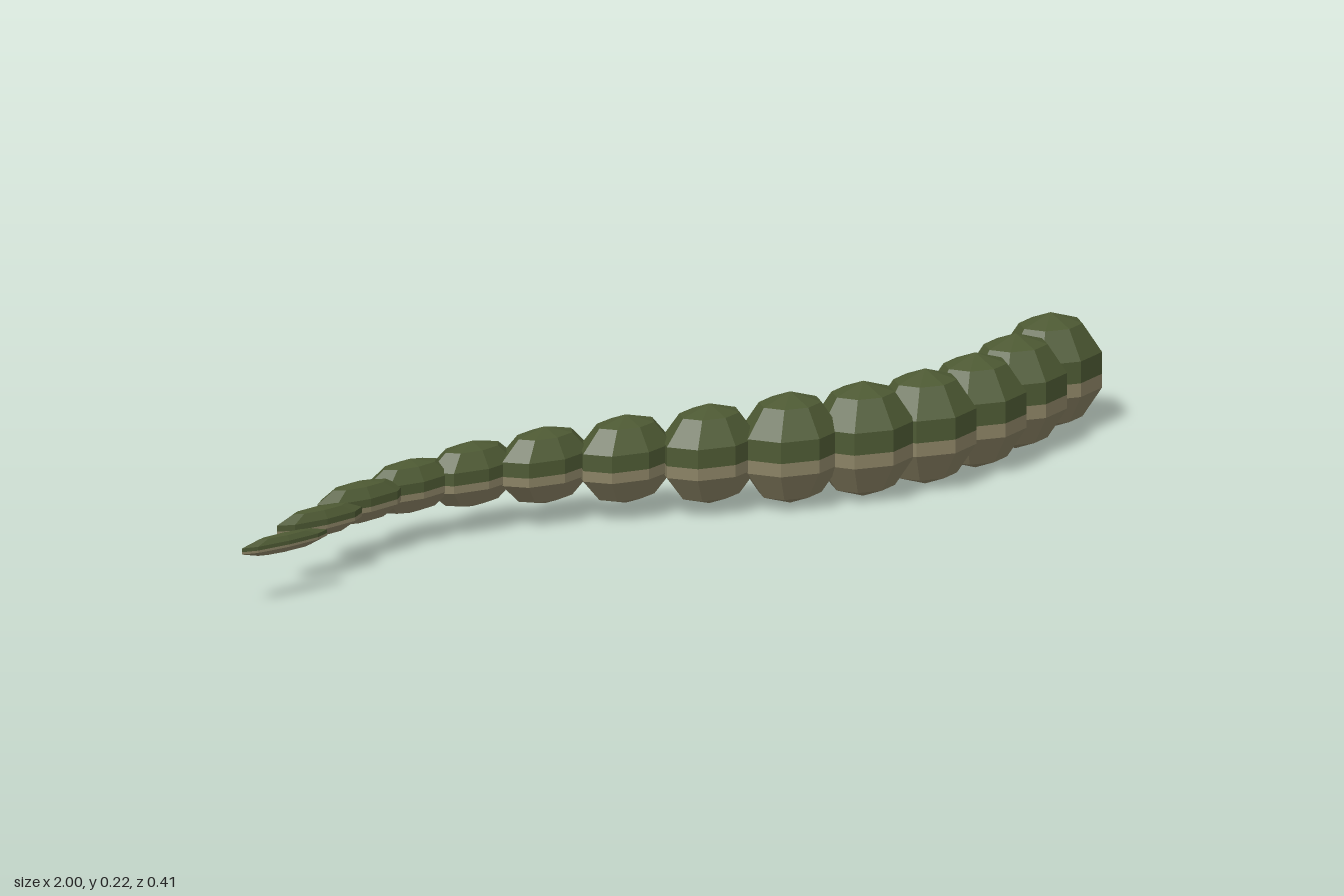
import * as THREE from 'three';

const SEGMENTS = 14;
const FULL_RADIUS = 0.1075;

// Faceted half shell of a unit body bead, profile listed bottom to top
function shell(points) {
  const g = new THREE.LatheGeometry(points.map(([r, y]) => new THREE.Vector2(r, y)), 8).toNonIndexed();
  g.computeVertexNormals();
  return g;
}

export function createModel() {
  const model = new THREE.Group();
  model.name = 'serpentBody';

  const backGreen = new THREE.MeshStandardMaterial({ color: 0x4d5933 });
  backGreen.name = 'backGreen';
  const bellyTan = new THREE.MeshStandardMaterial({ color: 0x8a8264 });
  bellyTan.name = 'bellyTan';
  backGreen.flatShading = bellyTan.flatShading = true;

  // Five-ring bead, divided just under its middle into back and belly
  const split = -0.07;
  const backGeometry = shell([[0.951, split], [0.951, 0.309], [0.588, 0.809], [0, 1]]);
  const bellyGeometry = shell([[0, -1], [0.588, -0.809], [0.951, -0.309], [0.951, split]]);

  // Beads run from the head (+x) to the tail (-x) along one sine wave
  for (let i = 0; i < SEGMENTS; i++) {
    const t = i / (SEGMENTS - 1);
    const radius = Math.min(FULL_RADIUS, 0.104 - 0.0107 * (i - 5));
    const segment = new THREE.Group();
    segment.name = i === 0 ? 'head' : i === SEGMENTS - 1 ? 'tailTip' : `bodySegment${i}`;

    const back = new THREE.Mesh(backGeometry, backGreen);
    back.name = 'back';
    const belly = new THREE.Mesh(bellyGeometry, bellyTan);
    belly.name = 'belly';
    segment.add(back, belly);

    segment.scale.set(0.105, radius, radius * 0.83);
    segment.position.set(0.9 - 1.8 * t, FULL_RADIUS, -0.0225 + 0.145 * Math.sin(t * Math.PI * 2));
    model.add(segment);
  }
  return model;
}
